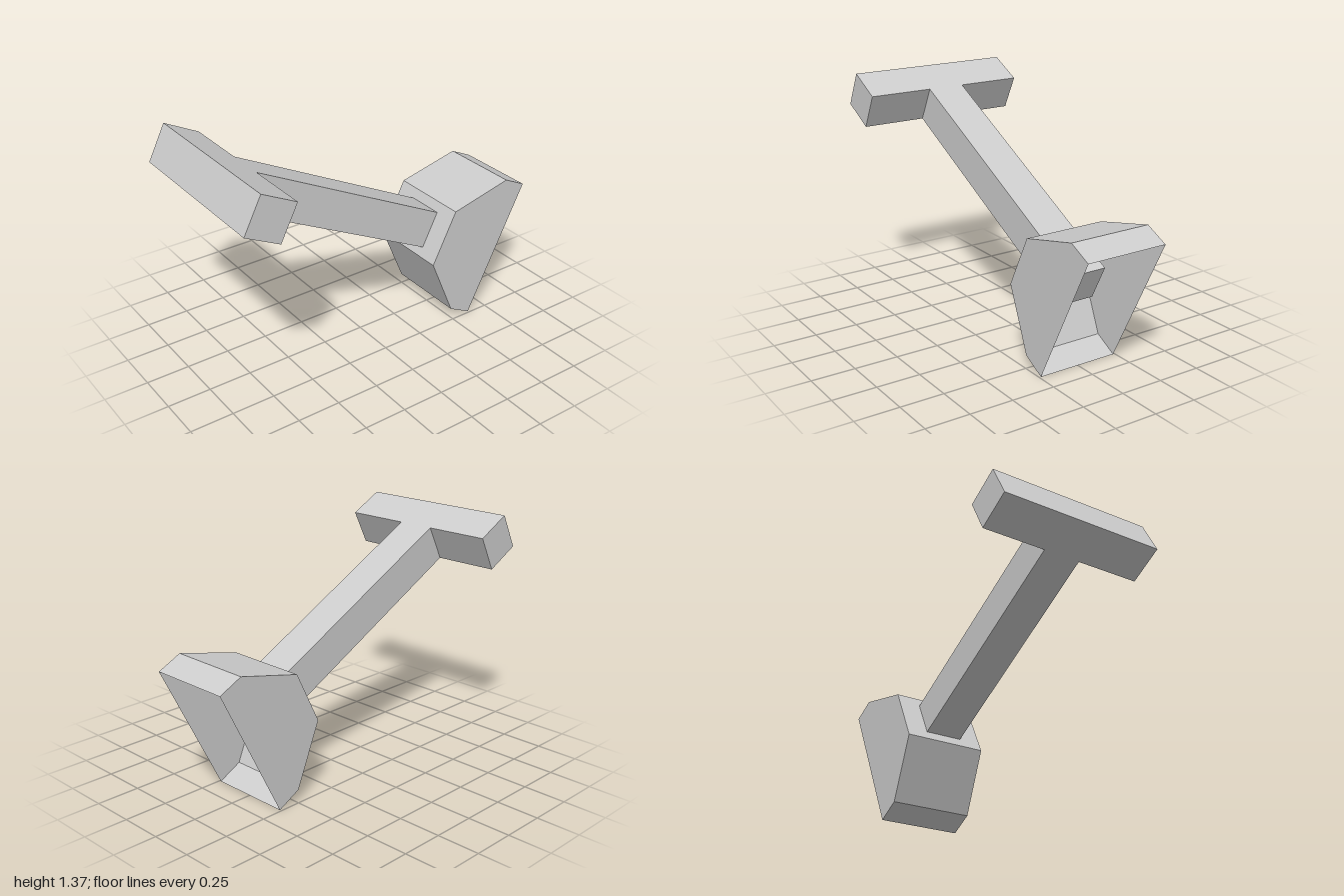
import * as THREE from 'three';

export function createModel() {
  const group = new THREE.Group();
  group.name = 'scoopTool';
  const grey = new THREE.MeshStandardMaterial({ color: 0xcccccc, side: THREE.DoubleSide });
  grey.name = 'plain grey';

  const add = (name, geometry, parent = group) => {
    const mesh = new THREE.Mesh(geometry, grey);
    mesh.name = name;
    parent.add(mesh);
    return mesh;
  };

  // T-shaped handle: crossbar grip and shaft in one slab, tilted up to the front
  const gripHalf = 0.485, shaftHalf = 0.11, gripDepth = 0.22, length = 1.79, thick = 0.22;
  const tee = new THREE.Shape([
    [-gripHalf, 0], [-gripHalf, -gripDepth], [-shaftHalf, -gripDepth], [-shaftHalf, -length],
    [shaftHalf, -length], [shaftHalf, -gripDepth], [gripHalf, -gripDepth], [gripHalf, 0],
  ].map(([x, y]) => new THREE.Vector2(x, y)));
  const teeGeometry = new THREE.ExtrudeGeometry(tee, { depth: thick, bevelEnabled: false });
  teeGeometry.translate(0, 0, -thick / 2);
  const handle = add('handle', teeGeometry);
  handle.rotation.x = THREE.MathUtils.degToRad(62.9);
  handle.position.set(0, 1.272, 0.95);

  // Scoop: thin faceted shell, open at the back; profile points are (z, y)
  const scoop = new THREE.Group();
  scoop.name = 'scoop';
  group.add(scoop);
  const half = 0.24;
  const profile = [
    [-1, 0.75], [-0.865, 0.815], [-0.49, 0.725], [-0.34, 0.425], [-0.49, 0.07], [-0.625, 0],
  ];

  // Folded wall running around the profile
  const positions = [];
  for (let i = 0; i < profile.length - 1; i++) {
    const [z0, y0] = profile[i], [z1, y1] = profile[i + 1];
    positions.push(
      -half, y0, z0, -half, y1, z1, half, y1, z1,
      -half, y0, z0, half, y1, z1, half, y0, z0,
    );
  }
  const wall = new THREE.BufferGeometry();
  wall.setAttribute('position', new THREE.Float32BufferAttribute(positions, 3));
  wall.computeVertexNormals();
  add('scoopWall', wall, scoop);

  // Flat cheeks closing both sides
  const cheekShape = new THREE.Shape(profile.map(([z, y]) => new THREE.Vector2(z, y)));
  for (const [name, x] of [['leftCheek', half], ['rightCheek', -half]]) {
    const geometry = new THREE.ShapeGeometry(cheekShape);
    geometry.rotateY(-Math.PI / 2);
    if (x > 0) {
      // Turn the left cheek outwards
      geometry.index.array.reverse();
      geometry.computeVertexNormals();
    }
    geometry.translate(x, 0, 0);
    add(name, geometry, scoop);
  }

  return group;
}
